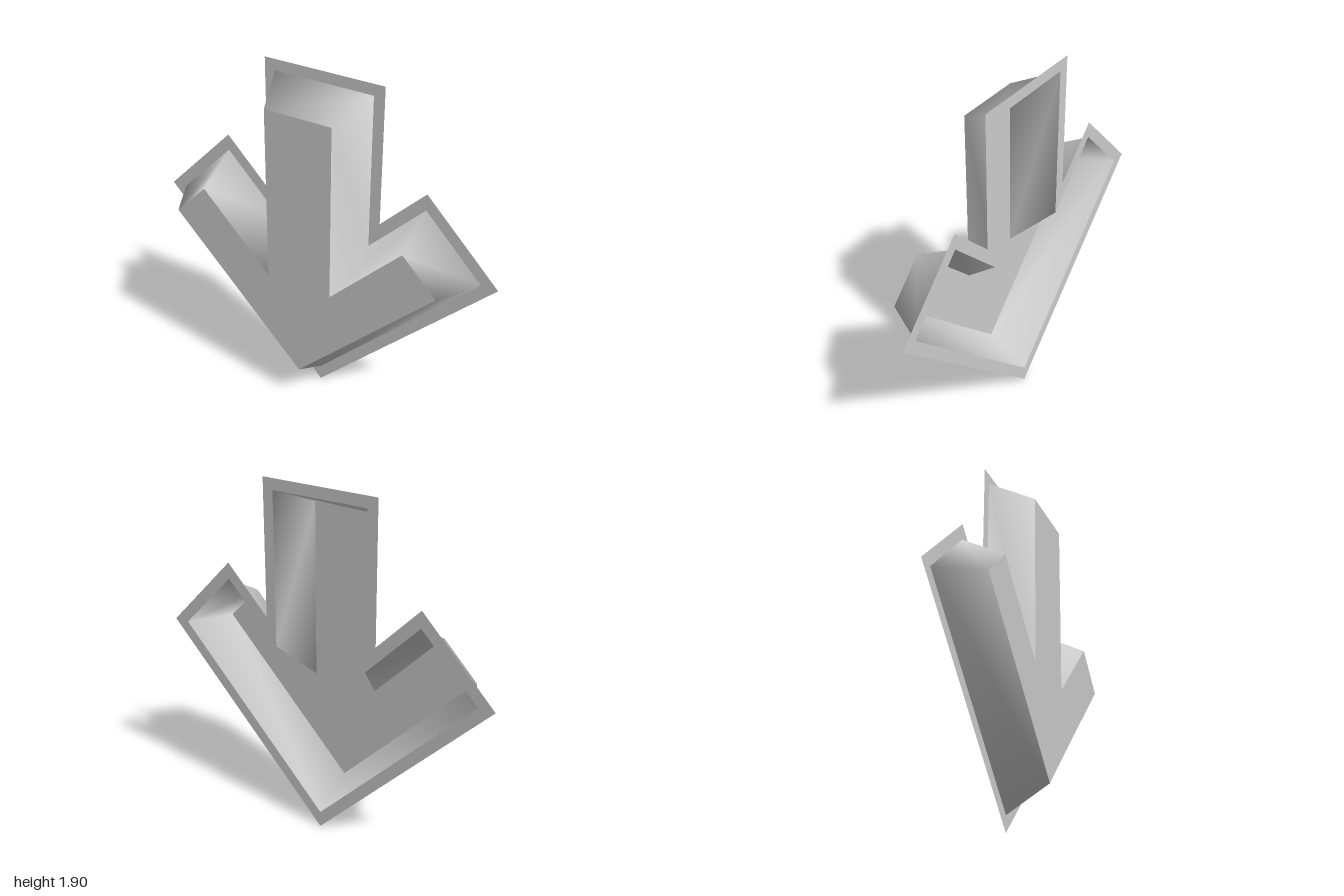
import * as THREE from 'three';

const DEPTH = 0.23;

// Closed arrow outline, counter-clockwise, from the right half of its corners (tip first)
function outline(tipY, wingX, wingTopY, notchX, stemTopY) {
  const wingTopX = 0.59;
  const half = [
    [0, tipY], [wingX, 1], [wingTopX, wingTopY],
    [notchX, wingTopY - (wingTopX - notchX)], [notchX, stemTopY],
  ];
  const mirrored = half.slice(1).reverse().map(([x, y]) => [-x, y]);
  return [...half, ...mirrored].map(([x, y]) => new THREE.Vector2(x, y));
}

// Sloping walls between two outlines, with smooth normals around the corners
function wallGeometry(back, front) {
  const n = back.length;
  const positions = [];
  const index = [];
  back.forEach((p) => positions.push(p.x, p.y, -DEPTH / 2));
  front.forEach((p) => positions.push(p.x, p.y, DEPTH / 2));
  for (let i = 0; i < n; i++) {
    const j = (i + 1) % n;
    index.push(i, j, n + j, i, n + j, n + i);
  }
  const geometry = new THREE.BufferGeometry();
  geometry.setAttribute('position', new THREE.Float32BufferAttribute(positions, 3));
  geometry.setIndex(index);
  geometry.computeVertexNormals();
  return geometry;
}

export function createModel() {
  const group = new THREE.Group();
  group.name = 'downArrow';
  const grey = new THREE.MeshStandardMaterial({ color: 0xcccccc, side: THREE.DoubleSide });
  grey.name = 'light grey';

  const rimOutline = outline(0, 1, 1.41, 0.34, 1.905);
  const baseOutline = outline(0.09, 0.91, 1.32, 0.28, 1.845);
  const faceOutline = outline(0.225, 0.78, 1.19, 0.19, 1.75);

  const add = (name, geometry, z = 0) => {
    const mesh = new THREE.Mesh(geometry, grey);
    mesh.name = name;
    mesh.position.z = z;
    group.add(mesh);
  };

  // Raised flat face
  add('frontFace', new THREE.ShapeGeometry(new THREE.Shape(faceOutline)), DEPTH / 2);

  // Bevelled sides, open at the back
  add('slopedWalls', wallGeometry(baseOutline, faceOutline));

  // Flat border around the open back
  const rim = new THREE.Shape(rimOutline);
  rim.holes.push(new THREE.Path(baseOutline));
  add('backRim', new THREE.ShapeGeometry(rim), -DEPTH / 2);

  return group;
}
